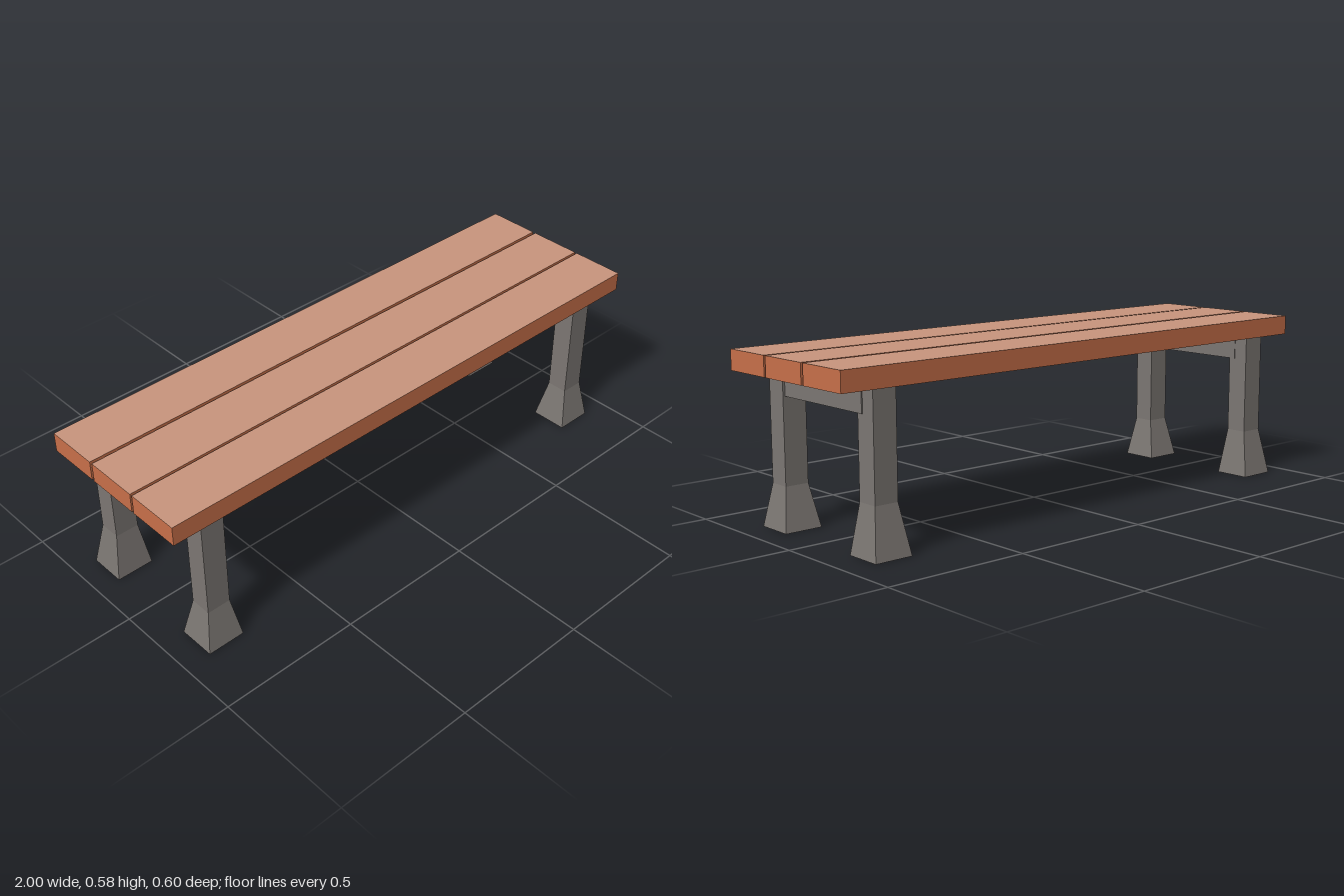
import * as THREE from 'three';

const flat = (name, color, extra = {}) => {
  const m = new THREE.MeshStandardMaterial({ color, ...extra });
  m.name = name;
  return m;
};

// Square post with a flared foot, open at the bottom.
// z values are [min, max] ranges for the post and the foot.
function legGeometry(postZ, footZ, kneeY, topY) {
  const g = new THREE.CylinderGeometry(Math.SQRT1_2, Math.SQRT1_2, 2, 4, 2, true)
    .rotateY(Math.PI / 4).toNonIndexed();
  const p = g.attributes.position;
  for (let i = 0; i < p.count; i++) {
    const level = Math.round(p.getY(i));
    const foot = level < 0;
    const [z0, z1] = foot ? footZ : postZ;
    const y = foot ? 0 : level === 0 ? kneeY : topY;
    p.setXYZ(i, Math.sign(p.getX(i)) * (foot ? 0.067 : 0.042), y, p.getZ(i) < 0 ? z0 : z1);
  }
  g.computeVertexNormals();
  return g;
}

export function createModel() {
  const bench = new THREE.Group();
  bench.name = 'bench';
  const face = flat('paleWood', 0xc8957d);
  const edge = flat('orangeWood', 0xc8704a);
  const grey = flat('greyMetal', 0x7c7773, { side: THREE.DoubleSide });

  const add = (geometry, material, name, x = 0, y = 0, z = 0) => {
    const mesh = new THREE.Mesh(geometry, material);
    mesh.name = name;
    mesh.position.set(x, y, z);
    bench.add(mesh);
  };

  // Seat planks: pale broad faces, orange edges
  const bottom = 0.516, top = 0.584;
  const planks = { rearPlank: [-0.295, -0.104], middlePlank: [-0.093, 0.099], frontPlank: [0.108, 0.3] };
  for (const [name, [z0, z1]] of Object.entries(planks)) {
    add(new THREE.BoxGeometry(2, top - bottom, z1 - z0), [edge, edge, face, face, edge, edge],
      name, 0, (top + bottom) / 2, (z0 + z1) / 2);
  }

  // Legs and the rail joining each pair
  const frontLeg = legGeometry([0.195, 0.271], [0.163, 0.296], 0.144, bottom);
  const rearLeg = legGeometry([-0.266, -0.189], [-0.299, -0.169], 0.164, bottom);
  const rail = new THREE.BoxGeometry(0.066, 0.08, 0.412);
  for (const [side, s] of [['left', 1], ['right', -1]]) {
    add(frontLeg, grey, side + 'FrontLeg', s * 0.84);
    add(rearLeg, grey, side + 'RearLeg', s * 0.84 - 0.012);
    add(rail, grey, side + 'Rail', s * 0.841, 0.473, -0.008);
  }
  return bench;
}
